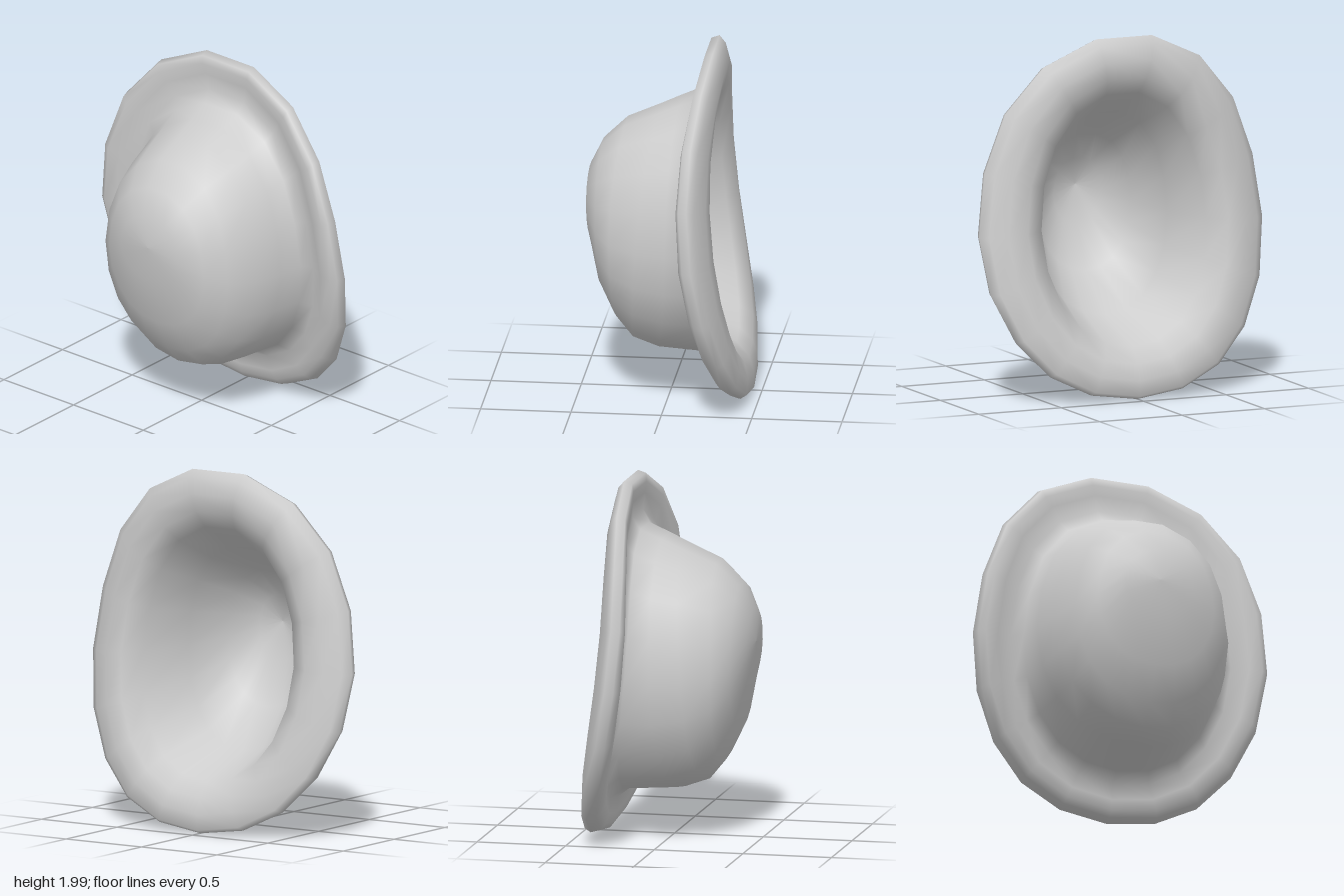
import * as THREE from 'three';

const SIDES = 19;

// Rings run from the crown tip, over the brim, and back inside.
// Each ring: half width, top y, bottom y, then z at its top, sides and bottom.
const crown = [
  [0, 1.1, 1.1, 0.46, 0.46, 0.46],
  [0.2, 1.28, 0.9, 0.45, 0.45, 0.445],
  [0.34, 1.42, 0.62, 0.38, 0.385, 0.385],
  [0.44, 1.54, 0.43, 0.25, 0.3, 0.29],
  [0.51, 1.62, 0.32, 0.06, 0.15, 0.2],
  [0.55, 1.67, 0.27, -0.05, -0.02, 0.06],
];
const brim = [
  // groove around the crown
  [0.58, 1.72, 0.25, -0.17, -0.16, -0.25],
  [0.645, 1.79, 0.195, -0.21, -0.195, -0.32],
  // rolled edge
  [0.735, 1.88, 0.11, -0.205, -0.145, -0.325],
  [0.81, 1.94, 0.055, -0.2, -0.14, -0.34],
  [0.845, 1.985, 0.02, -0.205, -0.165, -0.365],
  [0.86, 2.0, 0.005, -0.25, -0.215, -0.42],
  [0.815, 1.96, 0.025, -0.285, -0.25, -0.457],
  // underside, turning into the opening
  [0.72, 1.87, 0.11, -0.31, -0.3, -0.455],
  [0.61, 1.77, 0.2, -0.29, -0.31, -0.43],
  [0.5, 1.68, 0.285, -0.23, -0.25, -0.36],
];
// Hollow inside, narrowing towards the tip
const hollow = [
  [0.4, 1.54, 0.41, 0, 0.05, 0],
  [0.28, 1.38, 0.62, 0.24, 0.27, 0.25],
  [0.14, 1.23, 0.86, 0.36, 0.37, 0.36],
  [0, 1.08, 1.08, 0.39, 0.39, 0.39],
];

// Egg-shaped ring point; angle 0 is the bottom
function ringPoint([w, top, bottom, zTop, zSide, zBottom], k) {
  const t = (k / SIDES) * Math.PI * 2;
  const c = Math.cos(t), s = Math.sin(t);
  const upper = c < 0;
  const x = w * s * (upper ? 1 + 0.2 * c * c : 1 - 0.1 * c * s * s);
  const y = (top + bottom) / 2 - ((top - bottom) / 2) * c * (upper ? 1.014 : 1) - 0.18 * w * s * s;
  // wide rings swing forward above the middle and back below it
  const swing = 0.11 * w * w * c * s * s;
  const z = zSide + ((zBottom - zTop) / 2) * c + ((zTop + zBottom) / 2 - zSide) * c * c - swing;
  return [x, y, z];
}

// Smooth skin through a list of rings
function loft(rings) {
  const positions = [], index = [];
  rings.forEach((ring, r) => {
    for (let k = 0; k < SIDES; k++) {
      positions.push(...ringPoint(ring, k));
      if (r === rings.length - 1) continue;
      const a = r * SIDES + k, b = r * SIDES + ((k + 1) % SIDES);
      const c = a + SIDES, d = b + SIDES;
      if (rings[r + 1][0] > 0) index.push(a, c, d);
      else index.push(a, c, b);
      if (ring[0] > 0 && rings[r + 1][0] > 0) index.push(a, d, b);
    }
  });
  const geometry = new THREE.BufferGeometry();
  geometry.setAttribute('position', new THREE.Float32BufferAttribute(positions, 3));
  geometry.setIndex(index);
  geometry.computeVertexNormals();
  return geometry;
}

export function createModel() {
  const group = new THREE.Group();
  group.name = 'hat';
  const material = new THREE.MeshStandardMaterial({ color: 0xcccccc });

  // Crown, rolled brim and hollow are one continuous skin
  const shell = new THREE.Mesh(loft([...crown, ...brim, ...hollow]), material);
  shell.name = 'crownAndBrim';
  group.add(shell);
  return group;
}
